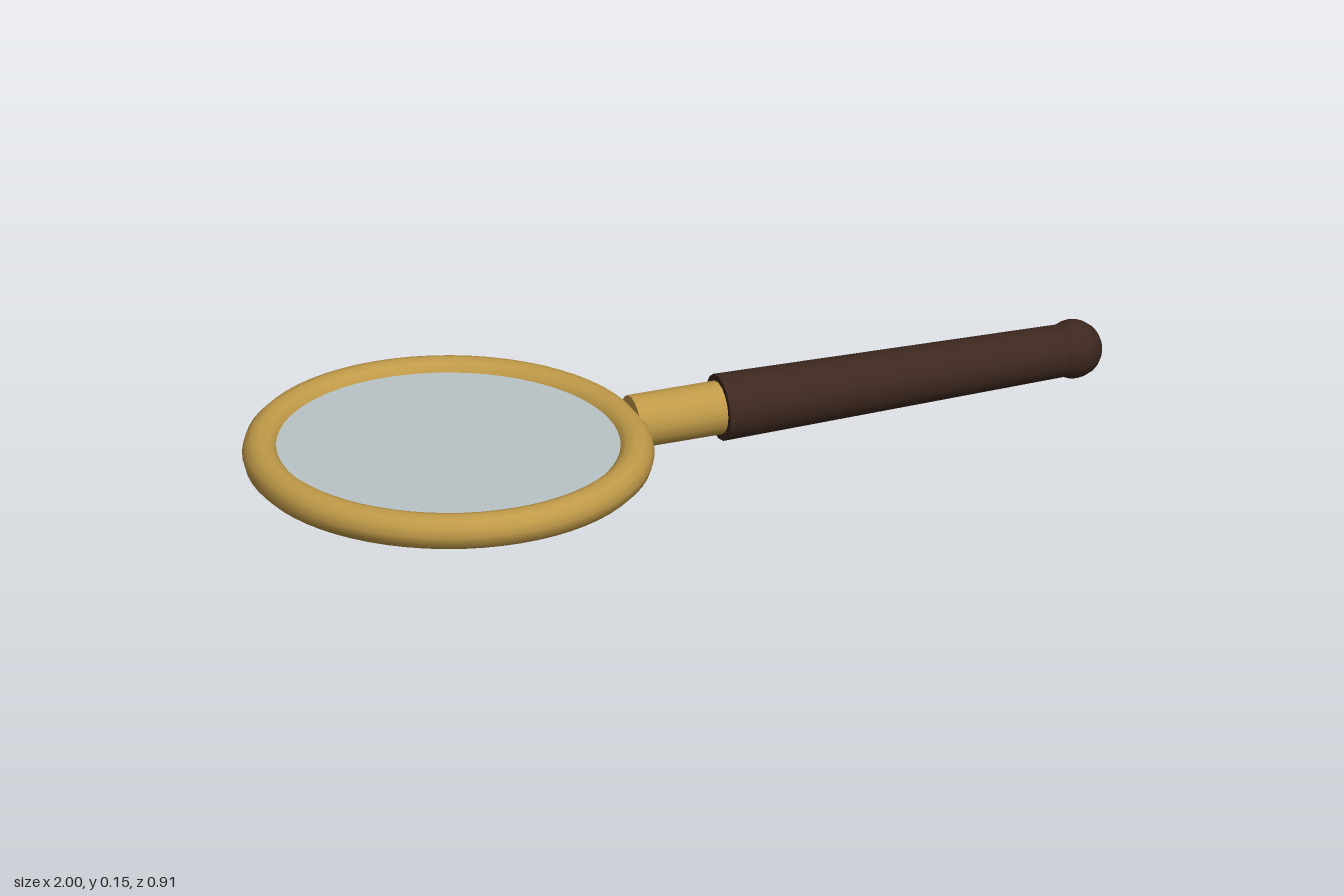
import * as THREE from 'three';

export function createModel() {
  const model = new THREE.Group();
  model.name = 'magnifyingGlass';

  const axisY = 0.075;   // height of the handle axis and lens plane
  const lensX = -0.545;  // centre of the lens

  const brass = new THREE.MeshStandardMaterial({ color: 0xc09a48 });
  const wood = new THREE.MeshStandardMaterial({ color: 0x3d281f });
  const glass = new THREE.MeshStandardMaterial({ color: 0xb9c4c6 });

  function add(name, geometry, material, x) {
    const mesh = new THREE.Mesh(geometry, material);
    mesh.name = name;
    mesh.position.set(x, axisY, 0);
    model.add(mesh);
    return mesh;
  }

  // Cylinder lying along x, from x0 (radius r0) to x1 (radius r1)
  function rod(name, x0, x1, r0, r1, material) {
    const geometry = new THREE.CylinderGeometry(r0, r1, x1 - x0, 16);
    geometry.rotateZ(Math.PI / 2);
    return add(name, geometry, material, (x0 + x1) / 2);
  }

  // Round frame lying flat
  const ring = new THREE.TorusGeometry(0.415, 0.04, 12, 64);
  ring.rotateX(Math.PI / 2);
  add('lensFrame', ring, brass, lensX);

  // Glass disc, its rim sunk into the frame
  add('lens', new THREE.CylinderGeometry(0.39, 0.39, 0.036, 64), glass, lensX);

  // Collar between frame and grip
  rod('ferrule', -0.112, 0.11, 0.06, 0.06, brass);

  // Tapered grip with a rounded knob at its end
  rod('handle', 0.095, 0.935, 0.075, 0.058, wood);
  const knob = new THREE.SphereGeometry(0.066, 16, 12);
  knob.rotateZ(Math.PI / 2);
  add('handleKnob', knob, wood, 0.934);

  return model;
}
